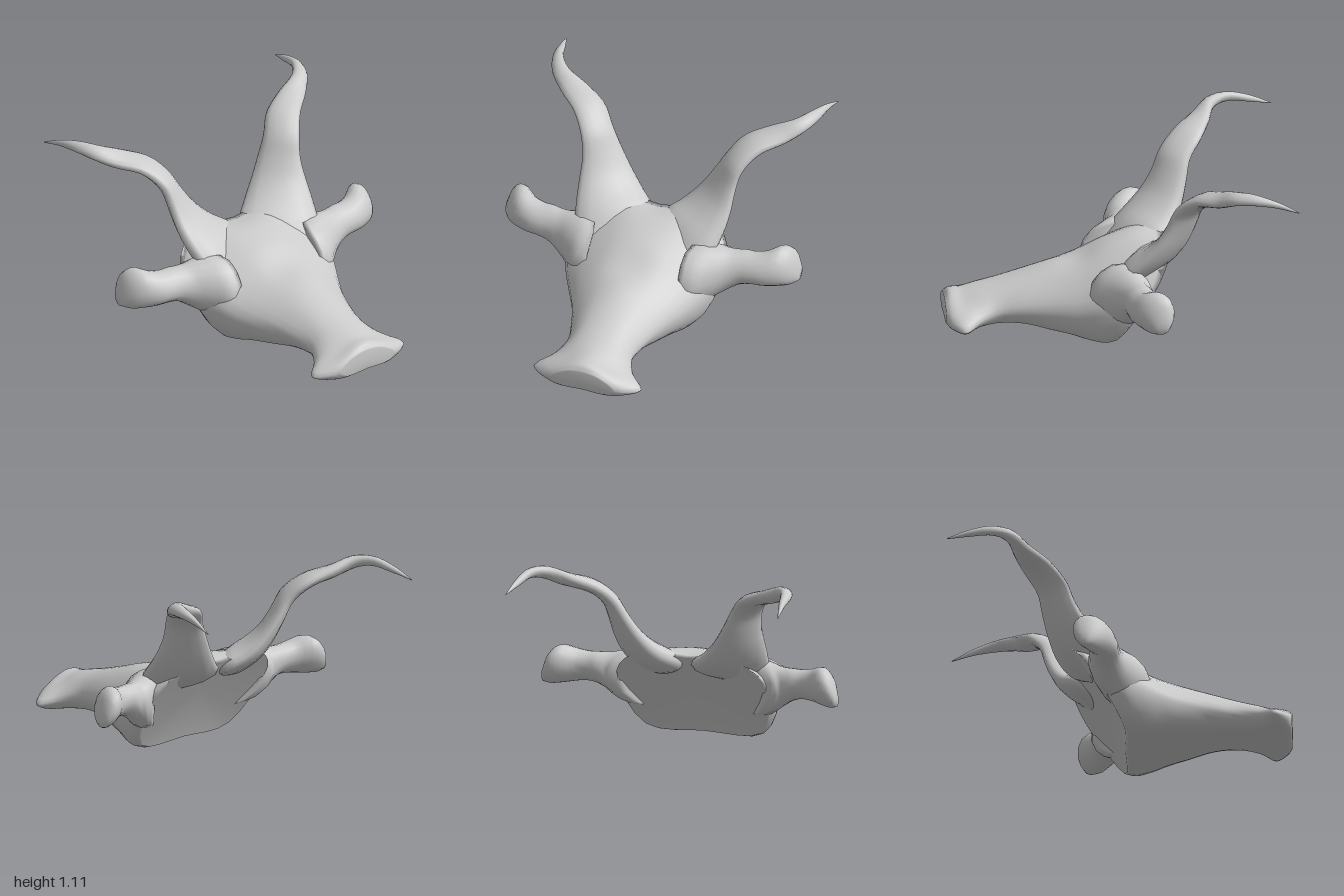
import * as THREE from 'three';

const V = (x, y, z) => new THREE.Vector3(x, y, z);
const material = new THREE.MeshStandardMaterial({ color: 0xcccccc });

// Closed skin over rings of equal length; each end is capped to its centre,
// the last cap moved by the given offset.
function loft(name, rings, capEnd = V(0, 0, 0)) {
  const n = rings[0].length, m = rings.length;
  const centre = (r) => r.reduce((a, p) => a.add(p), V(0, 0, 0)).divideScalar(n);
  const pts = [...rings.flat(), centre(rings[0]), centre(rings[m - 1]).add(capEnd)];
  const index = [];
  for (let j = 0; j < n; j++) {
    const k = (j + 1) % n;
    for (let i = 0; i < m - 1; i++) {
      const a = i * n + j, b = i * n + k;
      index.push(a, b, a + n, b, b + n, a + n);
    }
    index.push(m * n, k, j, m * n + 1, (m - 1) * n + j, (m - 1) * n + k);
  }
  // Turn the skin outwards if its signed volume is negative
  let volume = 0;
  for (let i = 0; i < index.length; i += 3) {
    const [a, b, c] = [0, 1, 2].map((k) => pts[index[i + k]]);
    volume += a.dot(b.clone().cross(c));
  }
  if (volume < 0) index.reverse();
  const geometry = new THREE.BufferGeometry().setFromPoints(pts);
  geometry.setIndex(index);
  geometry.computeVertexNormals();
  const mesh = new THREE.Mesh(geometry, material);
  mesh.name = name;
  return mesh;
}

// Smooth extra rings between the given ones
function refine(rings, count) {
  const lines = rings[0].map((_, j) =>
    new THREE.CatmullRomCurve3(rings.map((r) => r[j]), false, 'centripetal'));
  return Array.from({ length: count + 1 }, (_, i) => lines.map((l) => l.getPoint(i / count)));
}

// Head: x, backward slant, top y, shoulder z y, side z y, jaw z y, underside y
const headRows = [
  [1.0, 0, 0.22, 0.10, 0.205, 0.19, 0.14, 0.14, 0.10, 0.10],
  [0.97, 0, 0.255, 0.12, 0.22, 0.26, 0.125, 0.19, 0.08, 0.085],
  [0.90, 0, 0.26, 0.135, 0.22, 0.335, 0.115, 0.24, 0.07, 0.075],
  [0.81, 0, 0.28, 0.14, 0.24, 0.25, 0.14, 0.18, 0.08, 0.075],
  [0.70, 0, 0.305, 0.13, 0.27, 0.205, 0.17, 0.15, 0.09, 0.08],
  [0.55, 0.02, 0.35, 0.14, 0.31, 0.235, 0.19, 0.17, 0.09, 0.075],
  [0.40, 0.06, 0.40, 0.16, 0.35, 0.29, 0.21, 0.23, 0.07, 0.05],
  [0.28, 0.15, 0.43, 0.18, 0.40, 0.36, 0.23, 0.285, 0.055, 0.035],
  [0.18, 0.25, 0.51, 0.19, 0.47, 0.425, 0.28, 0.33, 0.035, 0.02],
  [0.09, 0.38, 0.55, 0.21, 0.525, 0.47, 0.33, 0.355, 0.025, 0.015],
  [0.04, 0.62, 0.53, 0.27, 0.55, 0.455, 0.40, 0.355, 0.04, 0.025],
];
function headRing([x, slant, top, sz, sy, wz, wy, jz, jy, under]) {
  const at = (z, y) => V(x - slant * y, y, z);
  const half = [[sz, sy], [wz, wy], [jz, jy]];
  const loop = [at(0, top), ...half.map((p) => at(...p)), at(0, under),
    ...half.reverse().map(([z, y]) => at(-z, y))];
  const curve = new THREE.CatmullRomCurve3(loop, true, 'centripetal');
  return Array.from({ length: 32 }, (_, i) => curve.getPoint(i / 32));
}

// Horn blade: inner edge x y z, outer edge x y z, half thickness.
// The first row is buried in the head, so the broad root grows out of its back rim.
const hornRows = [
  [-0.10, 0.42, 0.10, 0.06, 0.36, 0.34, 0.04],
  [-0.27, 0.49, 0.03, -0.03, 0.455, 0.425, 0.08],
  [-0.365, 0.555, 0.13, -0.13, 0.565, 0.455, 0.075],
  [-0.415, 0.65, 0.22, -0.205, 0.66, 0.465, 0.06],
  [-0.45, 0.76, 0.295, -0.265, 0.77, 0.47, 0.05],
  [-0.48, 0.87, 0.36, -0.31, 0.88, 0.495, 0.045],
  [-0.55, 0.96, 0.435, -0.405, 0.97, 0.575, 0.042],
  [-0.61, 1.025, 0.57, -0.52, 1.005, 0.70, 0.04],
  [-0.65, 1.08, 0.70, -0.62, 1.045, 0.79, 0.036],
  [-0.74, 1.095, 0.77, -0.73, 1.05, 0.825, 0.028],
  [-0.87, 1.055, 0.805, -0.87, 1.035, 0.837, 0.02],
  [-1.0, 1.0, 0.843, -1.0, 1.0, 0.849, 0.003],
];
function hornRings() {
  const path = hornRows.map(([a, b, c, d, e, f]) => V(a + d, b + e, c + f).multiplyScalar(0.5));
  return hornRows.map(([x, y, z, , , , thick], i) => {
    const tangent = path[Math.min(i + 1, path.length - 1)].clone()
      .sub(path[Math.max(i - 1, 0)]).normalize();
    const across = path[i].clone().sub(V(x, y, z));
    const normal = tangent.cross(across).normalize();
    return Array.from({ length: 14 }, (_, j) => {
      const a = (j / 14) * Math.PI * 2;
      return path[i].clone().addScaledVector(across, Math.cos(a))
        .addScaledVector(normal, Math.sin(a) * thick);
    });
  });
}

// Ear: x y z of the centre, half width, half height, tilt and bow.
// Tilt and bow lay the flared root rings against the side of the head.
const earRows = [
  [0.01, 0.32, 0.36, 0.17, 0.18, 0.45, 2.2],
  [-0.005, 0.325, 0.44, 0.175, 0.18, 0.45, 2.2],
  [-0.03, 0.335, 0.49, 0.14, 0.155, 0.4, 1.5],
  [-0.065, 0.355, 0.54, 0.108, 0.122, 0.25, 0.6],
  [-0.085, 0.378, 0.60, 0.092, 0.1, 0.1, 0],
  [-0.09, 0.385, 0.66, 0.088, 0.092, 0, 0],
  [-0.105, 0.39, 0.73, 0.093, 0.1, 0, 0],
  [-0.15, 0.40, 0.81, 0.105, 0.118, 0, 0],
  [-0.18, 0.38, 0.87, 0.085, 0.1, 0, 0],
  [-0.20, 0.335, 0.912, 0.035, 0.04, 0, 0],
];
const earRing = ([x, y, z, w, h, tilt, bow]) => Array.from({ length: 16 }, (_, j) => {
  const a = (j / 16) * Math.PI * 2;
  const dx = (Math.cos(a) - Math.sin(a) * 0.2) * w, dy = Math.sin(a) * h;
  return V(x + dx, y + dy, z - tilt * dx - bow * dy * dy);
});

export function createModel() {
  const group = new THREE.Group();
  group.name = 'hornedHead';

  // The back of the head is slightly hollow
  group.add(loft('head', refine(headRows.map(headRing), 40), V(0.06, 0.02, 0)));

  // Horn and ear on each flank
  const horn = refine(hornRings(), 36);
  const ear = refine(earRows.map(earRing), 24);
  for (const [side, s] of [['front', 1], ['back', -1]]) {
    const mirror = (rings) => rings.map((r) => r.map((p) => V(p.x, p.y, p.z * s)));
    group.add(loft(side + 'Horn', mirror(horn)));
    group.add(loft(side + 'Ear', mirror(ear)));
  }
  return group;
}
